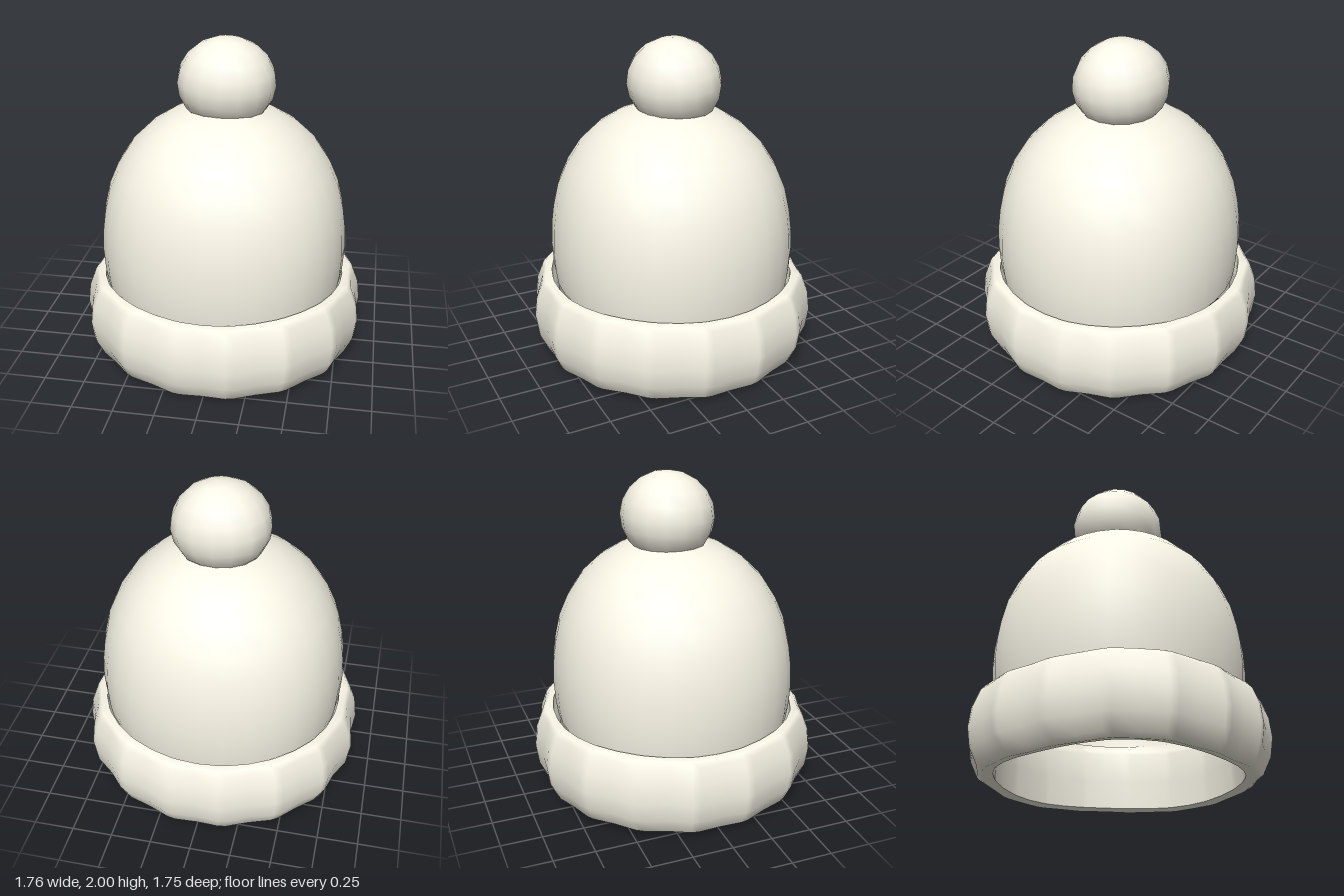
import * as THREE from 'three';
import { mergeVertices } from 'three/addons/utils/BufferGeometryUtils.js';

const material = new THREE.MeshStandardMaterial({ color: 0xf8f5e6, side: THREE.DoubleSide });
const lathe = (profile, segments) =>
  new THREE.LatheGeometry(profile.map(([r, y]) => new THREE.Vector2(r, y)), segments);

function addMesh(parent, name, geometry) {
  const mesh = new THREE.Mesh(geometry, material);
  mesh.name = name;
  parent.add(mesh);
  return mesh;
}

// Fills out the diagonals so the plan is a slightly squared circle, then welds and smooths
function soften(geometry) {
  const pos = geometry.attributes.position;
  for (let i = 0; i < pos.count; i++) {
    const angle = Math.atan2(pos.getX(i), pos.getZ(i));
    const bulge = 1 + 0.012 * (1 - Math.cos(4 * angle));
    pos.setXYZ(i, pos.getX(i) * bulge, pos.getY(i), pos.getZ(i) * bulge);
  }
  geometry.deleteAttribute('uv');
  geometry.deleteAttribute('normal');
  const welded = mergeVertices(geometry, 1e-4);
  welded.computeVertexNormals();
  return welded;
}

// Sheet of the brim from [radius, height, rib strength] rows: 16 wide hollows
// between narrow ridges, with a gently wavy height
function brimSheet(profile) {
  const geometry = lathe(profile, 48);
  const pos = geometry.attributes.position;
  const steps = [0, 0.427, 0.573];
  for (let i = 0; i < pos.count; i++) {
    const [r, y, strength] = profile[i % profile.length];
    const column = Math.floor(i / profile.length);
    const angle = (Math.floor(column / 3) + steps[column % 3]) * Math.PI / 8;
    const radius = r + (column % 3 === 0 ? -0.0125 : 0.0125) * strength;
    pos.setXYZ(i, radius * Math.sin(angle), y - 0.01 * Math.cos(4 * angle), radius * Math.cos(angle) * 0.992);
  }
  return soften(geometry);
}

export function createModel() {
  const hat = new THREE.Group();
  hat.name = 'bobbleHat';

  // Folded brim: ribbed outside and smooth lining, meeting at crisp edges
  const brim = new THREE.Group();
  brim.name = 'brim';
  hat.add(brim);
  addMesh(brim, 'brimOutside', brimSheet([
    [0.725, 0.022, 0], [0.785, 0.01, 0.5], [0.822, 0.035, 0.7], [0.863, 0.13, 1], [0.88, 0.25, 1],
    [0.866, 0.37, 1], [0.832, 0.47, 0.7], [0.81, 0.497, 0.5], [0.765, 0.5, 0],
  ]));
  addMesh(brim, 'brimLining', brimSheet([
    [0.765, 0.5, 0], [0.755, 0.42, 0], [0.722, 0.385, 0], [0.72, 0.2, 0], [0.725, 0.022, 0],
  ]));

  // Crown: slightly bulging dome, open below
  const crown = addMesh(hat, 'crown', soften(lathe([
    [0.752, 0.455], [0.765, 0.54], [0.774, 0.68], [0.767, 0.82], [0.75, 0.94], [0.717, 1.08],
    [0.66, 1.21], [0.575, 1.34], [0.46, 1.45], [0.34, 1.525], [0.22, 1.568], [0.1, 1.588], [0, 1.592],
  ], 32)));
  crown.scale.z = 0.968;

  // Pompom: a soft ball, a little tilted
  const pompom = addMesh(hat, 'pompom', soften(new THREE.SphereGeometry(1, 16, 10)));
  pompom.scale.set(0.302, 0.275, 0.283);
  pompom.position.set(0.01, 1.725, -0.02);
  pompom.rotation.set(0.06, 0, -0.06);

  return hat;
}
